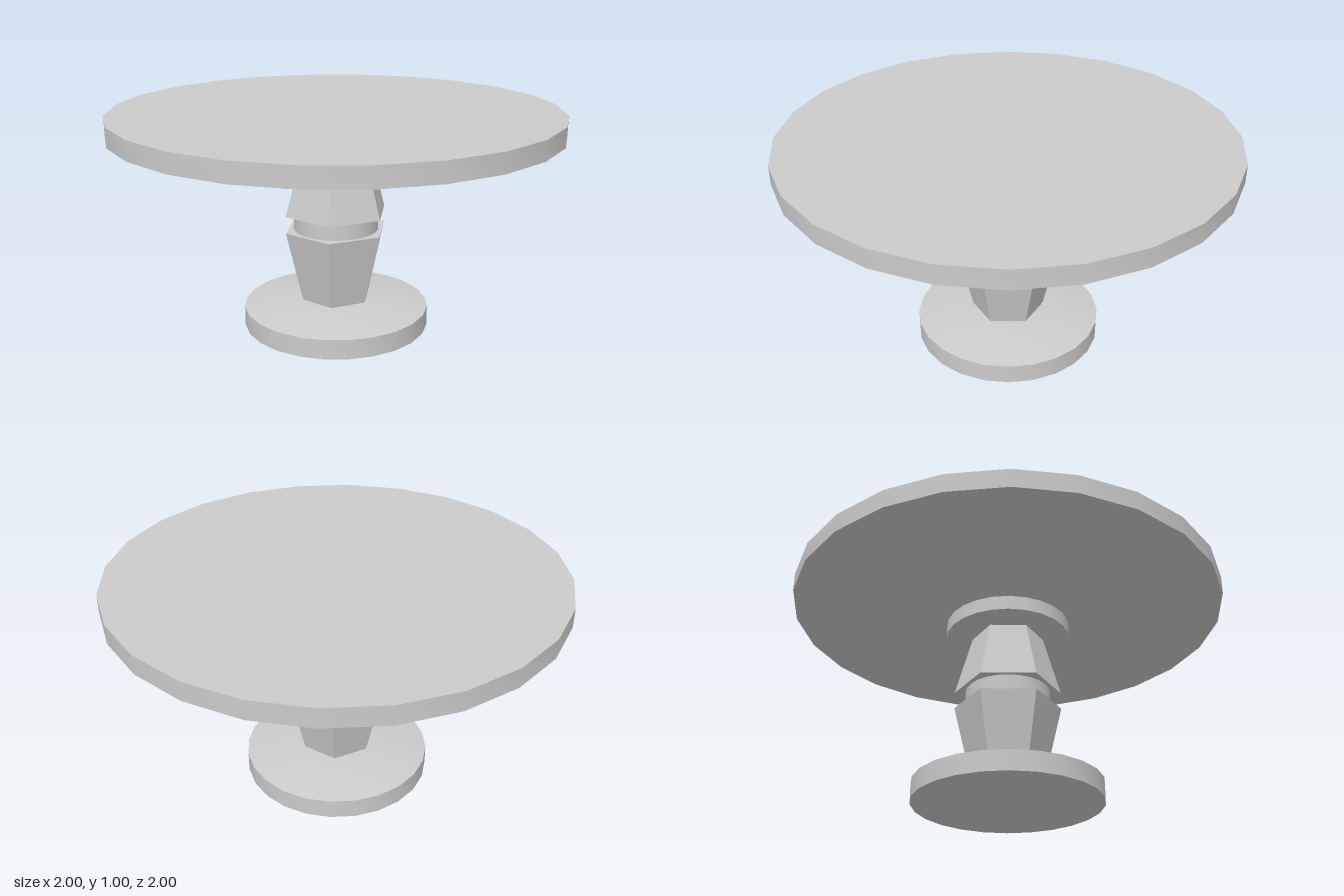
import * as THREE from 'three';
import { toCreasedNormals } from 'three/addons/utils/BufferGeometryUtils.js';

export function createModel() {
  const table = new THREE.Group();
  table.name = 'pedestalTable';
  const material = new THREE.MeshStandardMaterial({ color: 0xcccccc });

  const add = (name, geometry, y = 0) => {
    const mesh = new THREE.Mesh(geometry, material);
    mesh.name = name;
    mesh.position.y = y;
    table.add(mesh);
  };

  // Round part turned from a [radius, height] profile, smooth around and sharp at its rims
  const turned = (name, profile) => {
    const points = profile.map(([r, y]) => new THREE.Vector2(r, y));
    add(name, toCreasedNormals(new THREE.LatheGeometry(points, 24), Math.PI / 6));
  };

  // Tapered six-sided block with corners on the x axis
  const hexBlock = (name, bottomRadius, topRadius, bottom, top) => {
    const geometry = new THREE.CylinderGeometry(topRadius, bottomRadius, top - bottom, 6, 1, false, Math.PI / 6);
    add(name, toCreasedNormals(geometry, 0.1), (bottom + top) / 2);
  };

  // Foot with a gently sloping upper face
  turned('base', [[0, 0], [0.425, 0], [0.425, 0.09], [0.23, 0.127], [0, 0.127]]);

  // Column: two mirrored hexagonal blocks with a round ring between them
  hexBlock('lowerColumn', 0.165, 0.243, 0.127, 0.458);
  turned('columnRing', [[0, 0.458], [0.193, 0.458], [0.193, 0.535], [0, 0.535]]);
  hexBlock('upperColumn', 0.243, 0.165, 0.535, 0.812);

  // Collar under the top
  turned('collar', [[0, 0.812], [0.287, 0.812], [0.287, 0.88], [0, 0.88]]);

  // Table top with a shallow tapered underside
  turned('tableTop', [[0, 0.878], [0.64, 0.878], [1, 0.918], [1, 1.003], [0, 1.003]]);

  return table;
}
